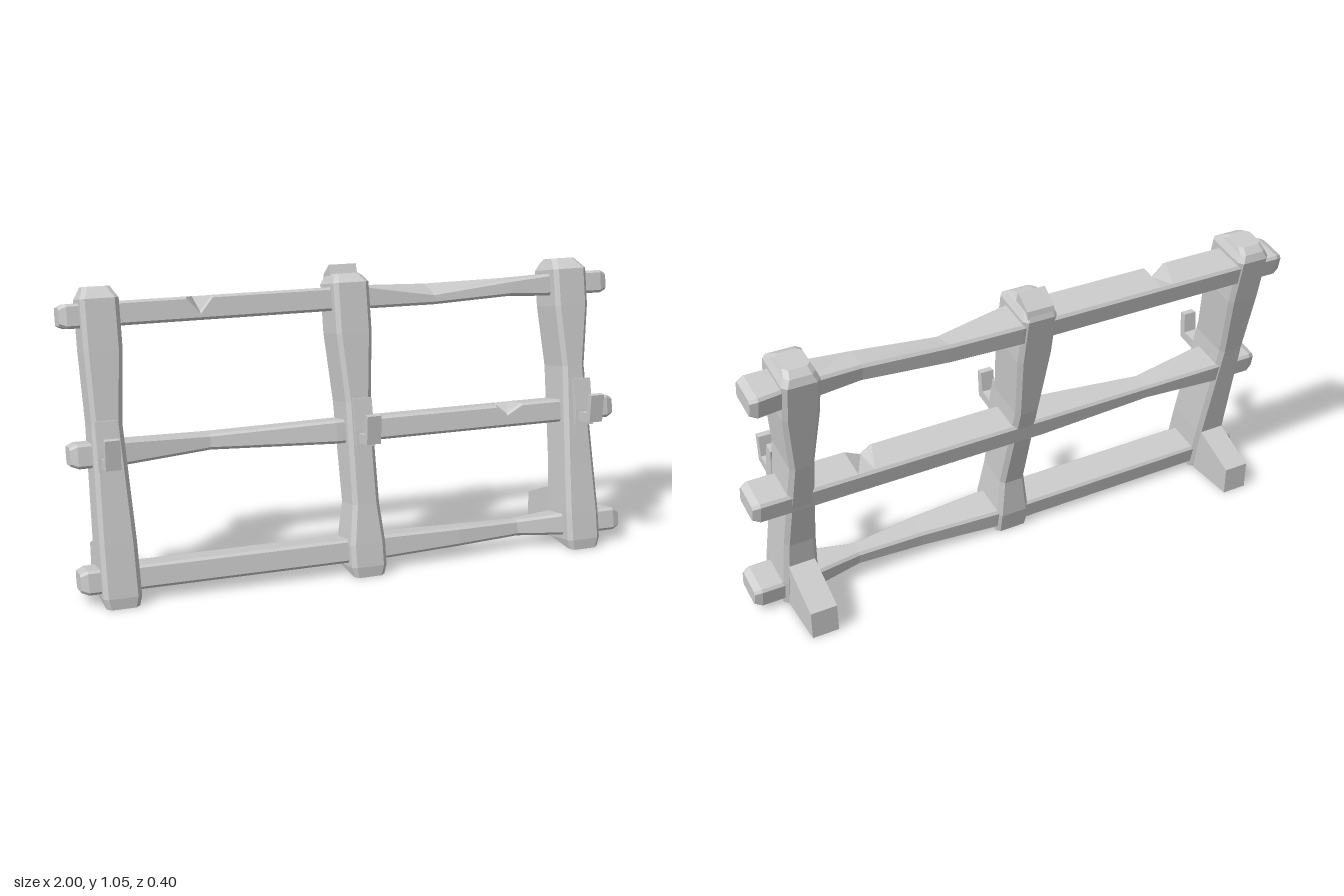
import * as THREE from 'three';

const LEAN = 0.202;
const material = new THREE.MeshStandardMaterial({ color: 0xcccccc, flatShading: true, side: THREE.DoubleSide });

// Lofts chamfered rectangles: each station is [s, u0, u1, v0, v1, chamfer, notch]
function hewnBeam(stations, place) {
  const pos = [], idx = [];
  stations.forEach(([s, u0, u1, v0, v1, c, n = 0]) => {
    const ring = [
      [u0 + c, v0], [u1 - c, v0], [u1, v0 + c], [u1, v1 - c - n],
      [u1 - c, v1 - n], [u0 + c, v1], [u0, v1 - c], [u0, v0 + c]];
    ring.forEach(([u, v]) => pos.push(...place(s, u, v)));
  });
  const last = (stations.length - 1) * 8;
  for (let a = 0; a < last; a += 8) {
    for (let i = 0; i < 8; i++) {
      const j = (i + 1) % 8;
      idx.push(a + i, a + 8 + i, a + 8 + j, a + i, a + 8 + j, a + j);
    }
  }
  for (let i = 1; i < 7; i++) idx.push(0, i, i + 1, last, last + i + 1, last + i);
  const g = new THREE.BufferGeometry();
  g.setAttribute('position', new THREE.Float32BufferAttribute(pos, 3));
  g.setIndex(idx);
  return g;
}

// Extrudes a (z, y) side profile across x, centred on x = 0
function sideProfile(points, width) {
  const shape = new THREE.Shape(points.map(p => new THREE.Vector2(...p)));
  return new THREE.ExtrudeGeometry(shape, { depth: width, bevelEnabled: false })
    .translate(0, 0, -width / 2).rotateY(-Math.PI / 2);
}

// Leans a geometry back and cuts it level with the floor
function lean(g) {
  g.rotateX(-LEAN).translate(0, 0, 0.1);
  const p = g.attributes.position;
  for (let i = 0; i < p.count; i++) p.setY(i, Math.max(0, p.getY(i)));
  g.computeVertexNormals();
  return g;
}

export function createModel() {
  const group = new THREE.Group();
  const add = (name, g, x = 0) => {
    const m = new THREE.Mesh(g, material);
    m.name = name;
    m.position.x = x;
    group.add(m);
  };

  // Upright posts: wear rows are [height, left inset, right inset, back inset, front inset]
  const posts = [
    { name: 'rightPost', x: -0.87, peak: 1.052, wear: [[0.2, 0, 0.003, 0, 0], [0.6, 0.006, 0.02, 0.004, 0.004], [0.84, 0, 0, 0, 0]] },
    { name: 'middlePost', x: -0.003, peak: 1.045, wear: [[0.1, 0, 0, 0, 0], [0.24, 0.018, 0.012, 0.03, 0.004], [0.6, 0.018, 0.018, 0, 0.004], [0.84, 0, 0, 0, 0]] },
    { name: 'leftPost', x: 0.834, peak: 1.052, wear: [[0.12, 0, 0, 0, 0], [0.3, 0.006, 0.008, 0.012, 0.003], [0.66, 0.018, 0.024, 0, 0.005], [0.88, 0, 0, 0, 0]] },
  ];
  for (const { name, x, peak, wear } of posts) {
    const W = 0.064, D = 0.091;
    const section = ([h, l, r, b, f]) => [h, -W + l, W - r, -D + b, D - f, 0.015];
    const rows = [
      [-0.02, 0.008, 0.008, 0.005, 0.008], [0.02, 0, 0, 0, 0], ...wear,
      [1.012, 0, 0, 0, 0], [1.036, 0.012, 0.012, 0.014, 0.03], [peak, 0.018, 0.018, 0.04, 0.055]];
    add(name, lean(hewnBeam(rows.map(section), (s, u, v) => [u, s, v])), x);
  }
  // Splintered rear half of the middle post's top
  add('splinteredTop', lean(sideProfile(
    [[0.006, 1.02], [-0.006, 1.078], [-0.074, 1.046], [-0.085, 1.02]], 0.1)), -0.003);

  // Rails: wear rows are [x, back inset, front inset, bottom inset, top inset, front notch]
  const rails = [
    { name: 'topRail', h: 0.959, d: -0.021, wear: [
      [-0.575, 0, 0, 0, 0, 0], [-0.53, 0, 0, 0, 0, 0.053], [-0.485, 0, 0, 0, 0, 0],
      [0.06, 0, 0, 0, 0, 0], [0.32, 0.012, 0.015, -0.002, 0.008, 0.035],
      [0.62, 0.03, 0.005, 0.01, 0.006, 0.008], [0.8, 0.02, 0, 0, 0, 0]] },
    { name: 'middleRail', h: 0.497, d: -0.019, wear: [
      [-0.82, 0, 0, 0, 0, 0], [-0.52, 0.004, 0.045, 0.018, 0.004, 0.006], [-0.08, 0, 0, 0, 0, 0],
      [0.53, 0, 0, 0, 0, 0], [0.57, 0, 0, 0, 0, 0.032], [0.63, 0, 0, 0, 0, 0]] },
    { name: 'bottomRail', h: 0.075, d: -0.015, wear: [
      [0.06, 0, 0, 0, 0, 0], [0.36, 0.022, 0.014, 0.008, 0.006, 0],
      [0.6, 0.03, 0.04, 0.014, 0.01, 0], [0.8, 0, 0, 0, 0, 0]] },
  ];
  for (const { name, h, d, wear } of rails) {
    const D = 0.066, H = 0.041, e = 0.01;
    const rows = [[-1, e, e, e, e, 0], [-0.975, 0, 0, 0, 0, 0], ...wear,
      [0.975, 0, 0, 0, 0, 0], [1, e, e, e, e, 0]];
    const stations = rows.map(([x, b, f, lo, hi, n]) =>
      [x, d - D + b, d + D - f, h - H + lo, h + H - hi, 0.009, n]);
    add(name, lean(hewnBeam(stations, (s, u, v) => [s, v, u])));
  }

  // Hooks on the front of each post: backing plate plus bent prong
  const plate = [[0.078, 0.62], [0.04, 0.612], [0.07, 0.45], [0.115, 0.455], [0.105, 0.51]];
  const prong = [[0.1, 0.466], [0.197, 0.487], [0.203, 0.588], [0.178, 0.588], [0.17, 0.515], [0.095, 0.501]];
  [['right', -0.885], ['middle', 0.003], ['left', 0.848]].forEach(([side, x]) => {
    add(side + 'HookPlate', sideProfile(plate, 0.066), x);
    add(side + 'HookProng', sideProfile(prong, 0.05), x);
  });

  // Wedge feet behind the outer posts
  const foot = [[0.014, 0.2], [-0.2, 0.103], [-0.2, 0], [0.03, 0]];
  [['rightFoot', -0.87], ['leftFoot', 0.834]].forEach(([name, x]) => add(name, sideProfile(foot, 0.095), x));

  return group;
}
